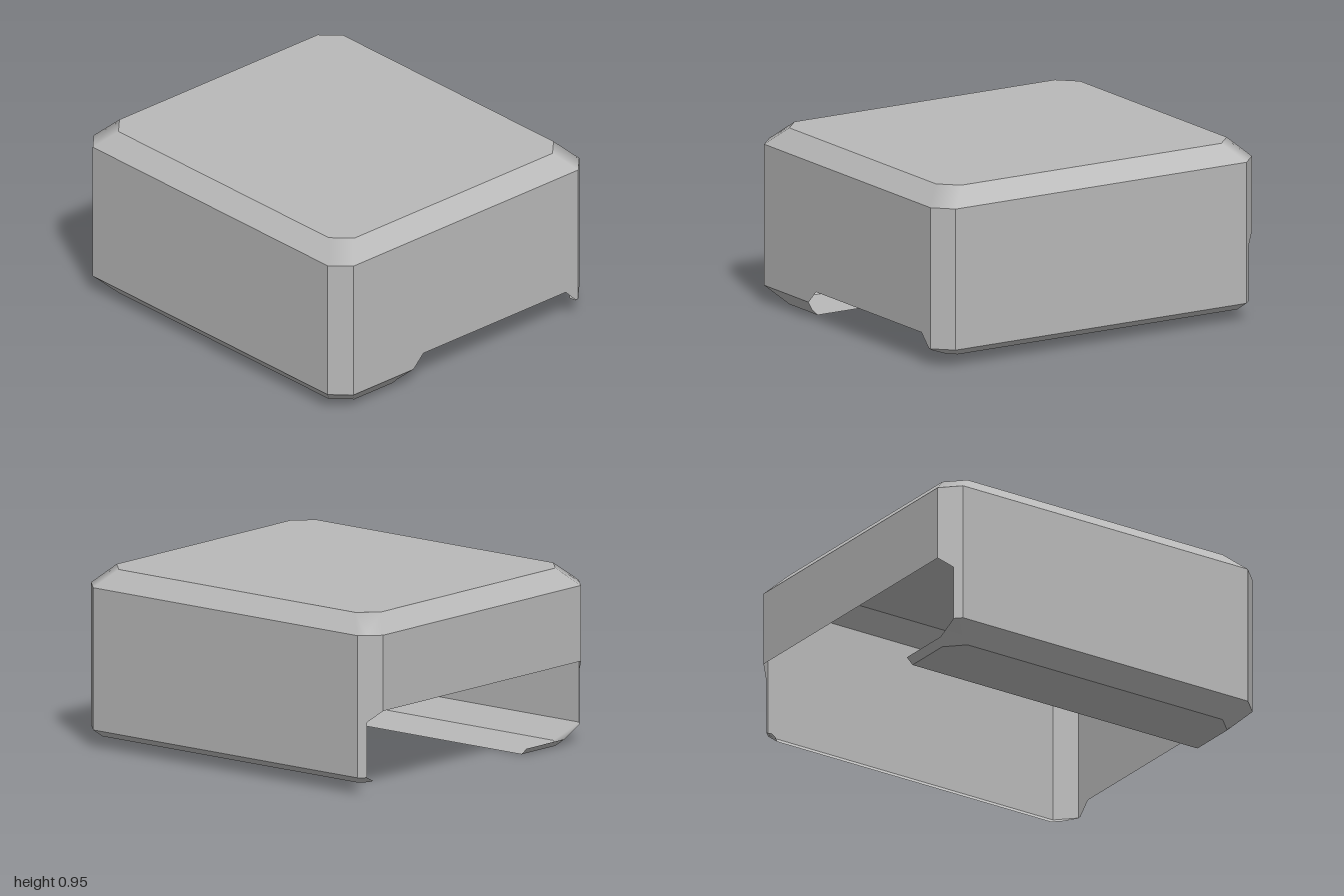
import * as THREE from 'three';

const W = 0.893, D = 1, H = 0.95, C = 0.095; // half width, half depth, height, chamfer

// Chamfered rectangle at height y, pulled in by an inset
function ring(y, inset) {
  const w = W - inset, d = D - inset;
  return [
    [w, d - C], [w - C, d], [C - w, d], [-w, d - C],
    [-w, C - d], [C - w, -d], [w - C, -d], [w, C - d],
  ].map(([x, z]) => new THREE.Vector3(x, y, z));
}

// Convex openings; each function is positive inside the opening
const cutters = [
  // underside opening with sloped ends
  [p => p.x + 0.43, p => 0.165 - p.y, p => p.x + 0.465 - p.y, p => 0.875 - p.x - p.y],
  // trimmed lip on the left side
  [p => p.x - 0.5, p => 0.06 - p.y],
  // rear opening
  [p => -0.94 - p.z, p => -0.55 - p.z - p.y],
];

// Part of a polygon on one side of a plane
function clip(poly, f, sign) {
  const out = [];
  poly.forEach((a, i) => {
    const b = poly[(i + 1) % poly.length];
    const fa = f(a) * sign, fb = f(b) * sign;
    if (fa >= 0) out.push(a);
    if (fa * fb < 0) out.push(a.clone().lerp(b, fa / (fa - fb)));
  });
  return out.length > 2 ? out : null;
}

// Polygon minus one convex opening, as a list of convex pieces
function subtract(poly, planes) {
  const pieces = [];
  let rest = poly;
  for (const f of planes) {
    if (!rest) break;
    const kept = clip(rest, f, -1);
    if (kept) pieces.push(kept);
    rest = clip(rest, f, 1);
  }
  return pieces;
}

// Bevel normals turn smoothly around the corners only
function bevelNormal(p) {
  const t = THREE.MathUtils.clamp((Math.abs(p.x) - Math.abs(p.z) + D - W + C) / (2 * C), 0, 1);
  return new THREE.Vector3(Math.sign(p.x) * t, Math.sign(p.y - H / 2), Math.sign(p.z) * (1 - t)).normalize();
}

function shellPart(name, polygons, material, smooth) {
  let pieces = polygons;
  for (const planes of cutters) pieces = pieces.flatMap(poly => subtract(poly, planes));
  const position = [], normal = [];
  const centre = new THREE.Vector3(0, H / 2, 0);
  for (const poly of pieces) {
    for (let i = 1; i < poly.length - 1; i++) {
      const tri = [poly[0], poly[i], poly[i + 1]];
      const n = new THREE.Vector3().crossVectors(tri[1].clone().sub(tri[0]), tri[2].clone().sub(tri[0]));
      if (n.length() < 1e-9) continue;
      n.normalize();
      if (n.dot(tri[0].clone().sub(centre)) < 0) { tri.reverse(); n.negate(); }
      for (const p of tri) {
        position.push(p.x, p.y, p.z);
        normal.push(...(smooth ? bevelNormal(p) : n).toArray());
      }
    }
  }
  const geometry = new THREE.BufferGeometry();
  geometry.setAttribute('position', new THREE.Float32BufferAttribute(position, 3));
  geometry.setAttribute('normal', new THREE.Float32BufferAttribute(normal, 3));
  const mesh = new THREE.Mesh(geometry, material);
  mesh.name = name;
  return mesh;
}

// Quads joining two rings
const band = (a, b) => a.map((p, i) => [p, a[(i + 1) % 8], b[(i + 1) % 8], b[i]]);

export function createModel() {
  const grey = new THREE.MeshStandardMaterial({ color: 0xb8b8b8, side: THREE.DoubleSide });
  grey.name = 'grey';

  const floor = ring(0, C), low = ring(C, 0), high = ring(H - C, 0), lid = ring(H, C);
  const model = new THREE.Group();
  model.name = 'coverShell';
  model.add(
    shellPart('floorStrip', [floor], grey, false),
    shellPart('lowerBevel', band(floor, low), grey, true),
    shellPart('walls', band(low, high), grey, false),
    shellPart('upperBevel', band(high, lid), grey, true),
    shellPart('topPanel', [lid], grey, false),
  );
  return model;
}
